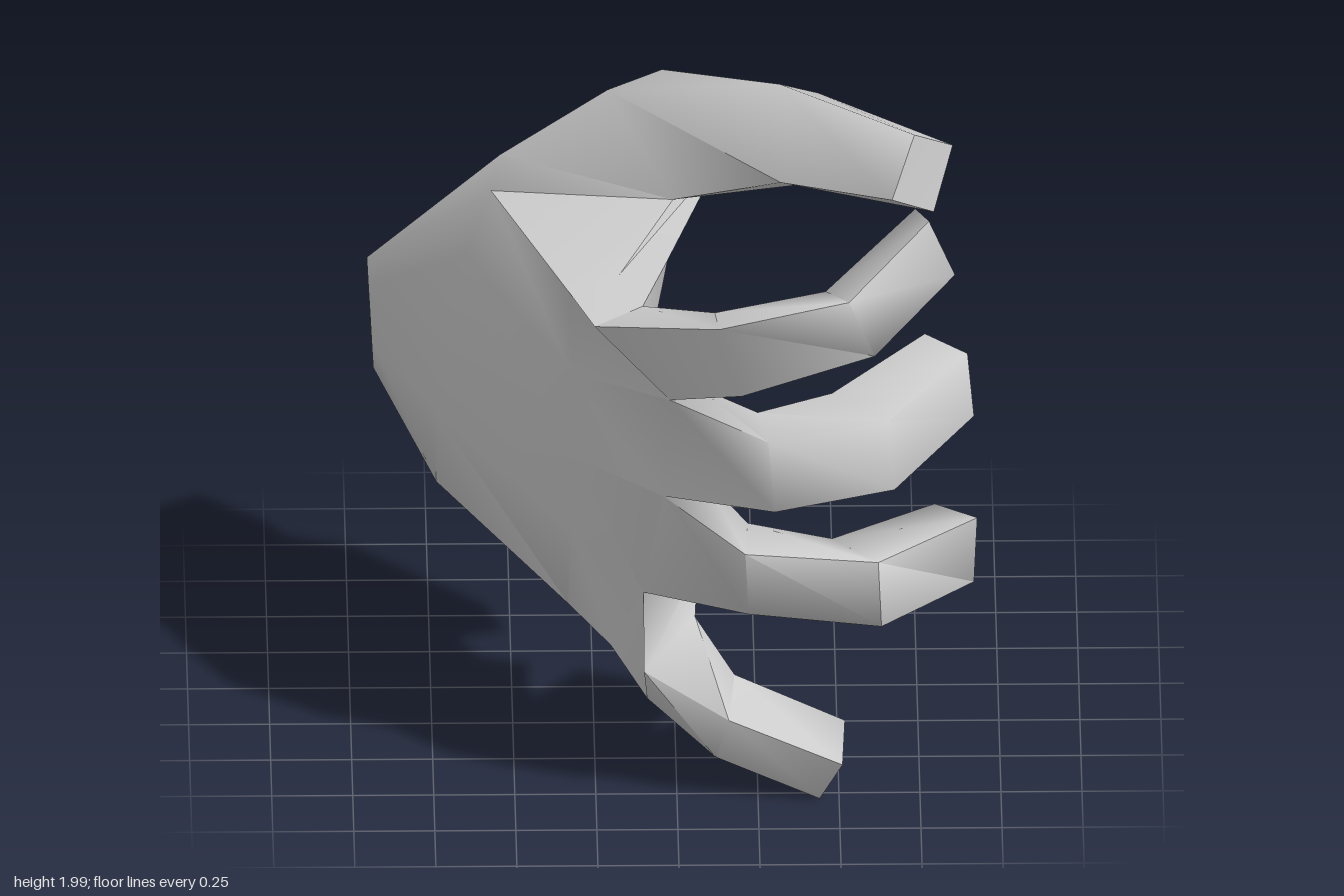
import * as THREE from 'three';
import { mergeGeometries, toCreasedNormals } from 'three/addons/utils/BufferGeometryUtils.js';

function surface(pos, crease) {
  const g = new THREE.BufferGeometry();
  g.setAttribute('position', new THREE.Float32BufferAttribute(pos, 3));
  return toCreasedNormals(g, crease);
}

// Triangles stretched over cross-sections, listed counter-clockwise seen from the far end
function loft(rings, closed = true) {
  const pos = [];
  const tri = (...pts) => pts.forEach((p) => pos.push(...p));
  for (let r = 0; r < rings.length - 1; r++) {
    const a = rings[r], b = rings[r + 1], n = a.length;
    for (let i = 0; i < (closed ? n : n - 1); i++) {
      const j = (i + 1) % n;
      tri(a[i], a[j], b[j]);
      tri(a[i], b[j], b[i]);
    }
  }
  return pos;
}

// Lid over a counter-clockwise ring
function lid(ring) {
  const n = ring.length;
  const mid = [0, 1, 2].map((k) => ring.reduce((s, p) => s + p[k], 0) / n);
  return surface(ring.flatMap((p, i) => [...mid, ...p, ...ring[(i + 1) % n]]), 0.85);
}

export function createModel() {
  // Each part has a skin, smoothed across all parts, and optional sharp-edged faces
  const parts = [];
  const add = (name, skin, sharp = []) => parts.push({ name, skin, sharp });

  // Thumb root and crotch, shared by heel, palm and thumb
  const rootBack = [-0.56, 1.57, -0.3], rootTop = [-0.53, 1.6, -0.49];
  const rootPalm = [-0.18, 1.64, -0.72], hollow = [-0.03, 1.35, -0.37];
  const crotchBack = [0, 1.6, -0.17], crotchPalm = [0.15, 1.61, -0.435];

  // Middle of the hand: back from top to bottom, then palm from bottom to top
  const middle = [
    rootBack, [-0.64, 1.38, -0.25], [-0.7, 1.1, -0.2], [-0.73, 0.85, -0.21], [-0.73, 0.61, -0.22],
    [-0.4, 0.53, -0.41], [-0.32, 0.8, -0.36], [-0.2, 1.07, -0.3], hollow,
  ];

  // Heel of the hand, from the cut wrist; its upper ridge runs from wristBack to the thumb root
  const wristBack = [-0.94, 1.22, -0.55];
  const wrist = [
    wristBack, wristBack, [-0.935, 1.12, -0.55], [-0.93, 1.03, -0.55], [-0.925, 0.93, -0.55],
    [-0.92, 0.84, -0.55], [-0.71, 0.68, -0.69], [-0.55, 0.93, -0.86], [-0.53, 1.06, -0.885],
    [-0.51, 1.17, -0.905], [-0.5, 1.26, -0.92], [-0.72, 1.31, -0.72],
  ];
  add('heelOfHand', loft([wrist, [rootTop, ...middle, rootPalm, rootTop]]), [lid(wrist.slice().reverse())]);

  // Webs between the fingers (back and palm points)
  const indexBack = [-0.25, 1.48, 0.47], indexPalm = [-0.1, 1.49, 0.35];
  const web1Back = [-0.02, 1.29, 0.6], web1Palm = [0.06, 1.28, 0.48];
  const web2Back = [-0.04, 0.95, 0.58], web2Palm = [0.08, 0.95, 0.43];
  const web3Back = [-0.1, 0.58, 0.5], web3Palm = [0.07, 0.58, 0.31];
  const edgeBack = [-0.2, 0.36, 0.42], edgePalm = [-0.03, 0.4, 0.35];

  // Palm, ending in the row of webs, with the flat face between thumb and index finger
  const palm = loft([
    [...middle, crotchPalm],
    [
      [-0.33, 1.51, 0.28], [-0.32, 1.24, 0.31], [-0.32, 0.96, 0.32], [-0.32, 0.7, 0.32], [-0.33, 0.44, 0.29],
      [-0.13, 0.445, 0.18], [-0.1, 0.65, 0.12], [-0.08, 0.95, 0.13], [-0.07, 1.25, 0.1], [-0.02, 1.525, 0.1],
    ],
    [
      indexBack, web1Back, web2Back, web3Back, edgeBack,
      edgePalm, web3Palm, web2Palm, web1Palm, indexPalm,
    ],
  ], false);
  const crotch = loft([
    [crotchPalm, crotchBack, rootBack],
    [[-0.02, 1.525, 0.1], [-0.17, 1.52, 0.19], [-0.33, 1.51, 0.28]],
    [indexPalm, [-0.175, 1.485, 0.41], indexBack],
  ], false);
  add('palm', palm, [surface(crotch, 0.85)]);

  // Thumb base, open where it grows into the palm
  const thumbStart = [[-0.2, 1.87, -0.39], crotchBack, crotchPalm, [-0.03, 1.875, -0.52]];
  add('thumbBase', loft([
    [hollow, rootPalm, rootTop, rootBack],
    [crotchPalm, thumbStart[3], thumbStart[0], crotchBack],
  ], false));

  // Digits: each section runs back top, back bottom, palm bottom, palm top
  const digits = {
    thumb: [
      thumbStart,
      [[0.33, 1.97, -0.22], [0.33, 1.74, 0], [0.45, 1.69, -0.1], [0.45, 1.88, -0.34]],
      [[0.74, 2, 0.2], [0.67, 1.83, 0.31], [0.8, 1.73, 0.19], [0.86, 1.9, 0.07]],
    ],
    indexFinger: [
      [indexBack, web1Back, web1Palm, indexPalm],
      [[0.13, 1.6, 0.74], [0.2, 1.38, 0.76], [0.2, 1.37, 0.6], [0.12, 1.56, 0.54]],
      [[0.53, 1.75, 0.86], [0.61, 1.57, 0.87], [0.5, 1.51, 0.67], [0.46, 1.69, 0.66]],
      [[0.78, 1.9, 0.6], [0.86, 1.72, 0.61], [0.82, 1.67, 0.41], [0.74, 1.85, 0.41]],
    ],
    middleFinger: [
      [web1Back, web2Back, web2Palm, web1Palm],
      [[0.28, 1.29, 0.9], [0.3, 1.06, 0.92], [0.25, 1.09, 0.7], [0.25, 1.29, 0.69]],
      [[0.65, 1.34, 0.86], [0.67, 1.11, 0.87], [0.5, 1.13, 0.67], [0.48, 1.34, 0.66]],
      [[0.9, 1.4, 0.51], [0.92, 1.18, 0.5], [0.8, 1.19, 0.36], [0.77, 1.4, 0.37]],
    ],
    ringFinger: [
      [web2Back, web3Back, web3Palm, web2Palm],
      [[0.21, 0.89, 0.87], [0.22, 0.68, 0.86], [0.23, 0.68, 0.62], [0.22, 0.88, 0.63]],
      [[0.62, 0.86, 0.87], [0.63, 0.64, 0.87], [0.48, 0.65, 0.66], [0.48, 0.84, 0.66]],
      [[0.93, 0.83, 0.5], [0.92, 0.61, 0.5], [0.8, 0.61, 0.38], [0.8, 0.82, 0.38]],
    ],
    littleFinger: [
      [web3Back, edgeBack, edgePalm, web3Palm],
      [[-0.1, 0.4, 0.69], [-0.09, 0.27, 0.61], [0, 0.33, 0.51], [0.06, 0.48, 0.47]],
      [[0.16, 0.28, 0.79], [0.12, 0.13, 0.74], [0.14, 0.2, 0.55], [0.18, 0.33, 0.57]],
      [[0.51, 0.15, 0.84], [0.44, 0.01, 0.79], [0.45, 0.06, 0.59], [0.52, 0.2, 0.63]],
    ],
  };
  for (const [name, rings] of Object.entries(digits)) add(name, loft(rings), [lid(rings.at(-1))]);

  // Smooth the whole skin at once so no seam shows, then cut it back into parts
  const group = new THREE.Group();
  const material = new THREE.MeshStandardMaterial({ color: 0xcccccc, side: THREE.DoubleSide });
  const whole = surface(parts.flatMap((p) => p.skin), 1.6);
  let start = 0;
  for (const { name, skin, sharp } of parts) {
    const cut = new THREE.BufferGeometry();
    for (const key of ['position', 'normal']) {
      const values = whole.attributes[key].array.slice(start, start + skin.length);
      cut.setAttribute(key, new THREE.BufferAttribute(values, 3));
    }
    start += skin.length;
    const mesh = new THREE.Mesh(mergeGeometries([cut, ...sharp]), material);
    mesh.name = name;
    group.add(mesh);
  }
  return group;
}
